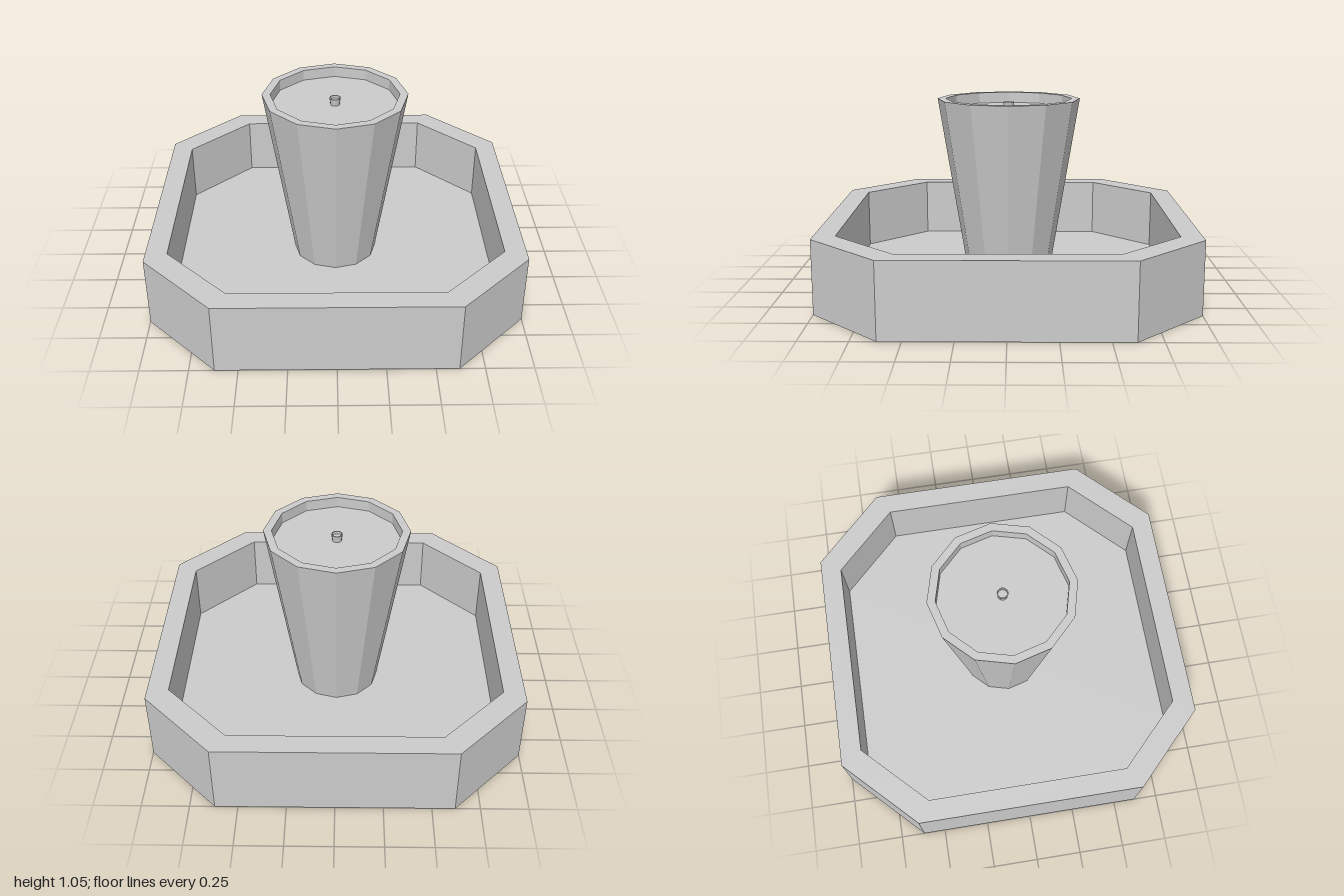
import * as THREE from 'three';

const material = new THREE.MeshStandardMaterial({ color: 0xcccccc, flatShading: true });

// Corners of a square with cut corners, counter-clockwise seen from above
function cutSquare(half, flat, y) {
  return [
    [-flat, half], [flat, half], [half, flat], [half, -flat],
    [flat, -half], [-flat, -half], [-half, -flat], [-half, flat],
  ].map(([x, z]) => [x, y, z]);
}

// Skins successive loops; a loop of zero size closes to a point
function skin(sections) {
  const loops = sections.map((s) => cutSquare(...s));
  const positions = [];
  for (let i = 0; i < loops.length - 1; i++) {
    for (let j = 0; j < 8; j++) {
      const k = (j + 1) % 8;
      const a = loops[i], b = loops[i + 1];
      if (sections[i][0] > 0) positions.push(...a[j], ...a[k], ...b[k]);
      if (sections[i + 1][0] > 0) positions.push(...a[j], ...b[k], ...b[j]);
    }
  }
  const geometry = new THREE.BufferGeometry();
  geometry.setAttribute('position', new THREE.Float32BufferAttribute(positions, 3));
  geometry.computeVertexNormals();
  return geometry;
}

// Twelve-sided turned part from a [radius, height] profile
function turned(profile) {
  return new THREE.LatheGeometry(profile.map(([r, y]) => new THREE.Vector2(r, y)), 12);
}

export function createModel() {
  const group = new THREE.Group();
  const add = (name, geometry) => {
    const mesh = new THREE.Mesh(geometry, material);
    mesh.name = name;
    group.add(mesh);
  };

  const floorY = 0.065;

  // Basin: underside, outer wall, rim, inner wall, floor
  add('basin', skin([
    [0, 0, 0], [1, 0.62, 0], [1, 0.62, 0.4],
    [0.885, 0.55, 0.4], [0.885, 0.55, floorY], [0, 0, floorY],
  ]));

  // Flared pedestal with a shallow bowl in its top
  add('pedestal', turned([
    [0.235, floorY], [0.395, 1.05], [0.35, 1.05], [0.35, 0.99], [0, 0.99],
  ]));

  // Small hollow nozzle in the bowl
  add('nozzle', turned([
    [0.025, 0.99], [0.031, 1.03], [0.025, 1.03], [0.025, 1.015], [0, 1.015],
  ]));

  return group;
}
